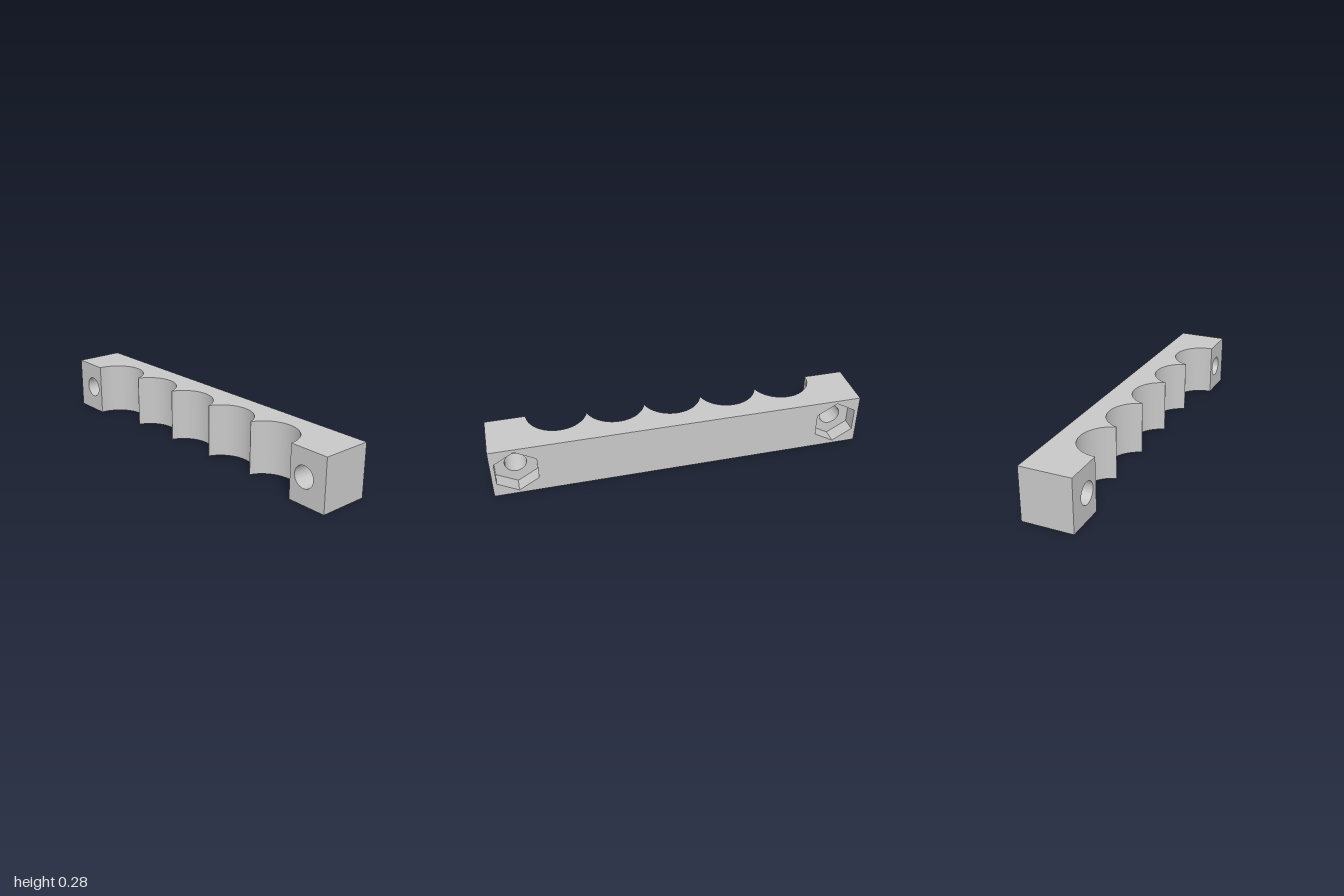
import * as THREE from 'three';
import { toCreasedNormals } from 'three/addons/utils/BufferGeometryUtils.js';

const H = 0.283;        // height
const BACK = -0.135, FRONT = 0.135;
const FLOOR = -0.057;   // depth of the nut pocket floor
const R = 0.162;        // groove radius
const PITCH = 0.3115;   // groove spacing
const INNER = 2 * PITCH + R; // where the end blocks begin
const HOLE_X = 0.87;

function extrude(shape, depth) {
  return new THREE.ExtrudeGeometry(shape, { depth, bevelEnabled: false, curveSegments: 32 });
}

function rectangle(x0, x1) {
  const s = new THREE.Shape();
  s.moveTo(x0, 0).lineTo(x1, 0).lineTo(x1, H).lineTo(x0, H).closePath();
  return s;
}

export function createModel() {
  const group = new THREE.Group();
  const grey = new THREE.MeshStandardMaterial({ color: 0xc8c8c8 });
  grey.name = 'grey';
  const add = (name, geometry) => {
    const mesh = new THREE.Mesh(toCreasedNormals(geometry, 0.5), grey);
    mesh.name = name;
    group.add(mesh);
  };

  // Grooved middle: plan outline drawn as (x, -z), extruded upwards
  const plan = new THREE.Shape();
  plan.moveTo(INNER, -FLOOR).lineTo(-INNER, -FLOOR);
  const cusp = Math.acos(0.1544 / R); // slightly blunt ridges between grooves
  for (let i = -2; i <= 2; i++) {
    const start = i === -2 ? Math.PI : Math.PI - cusp;
    const end = i === 2 ? 0 : cusp;
    plan.absarc(i * PITCH, -FRONT, R, start, end, true);
  }
  plan.closePath();
  add('groovedCradle', extrude(plan, H).rotateX(-Math.PI / 2));

  // End blocks with round bolt holes
  for (const side of [-1, 1]) {
    const s = side > 0 ? rectangle(INNER, 1) : rectangle(-1, -INNER);
    const hole = new THREE.Path();
    hole.absarc(side * HOLE_X, H / 2, 0.057, 0, Math.PI * 2, true);
    s.holes.push(hole);
    add(side > 0 ? 'leftEndBlock' : 'rightEndBlock', extrude(s, FRONT - FLOOR).translate(0, 0, FLOOR));
  }

  // Back slab with hexagonal nut pockets
  const slab = rectangle(-1, 1);
  for (const side of [-1, 1]) {
    const points = [];
    for (let k = 0; k < 6; k++) {
      const a = Math.PI / 2 - k * Math.PI / 3;
      points.push(new THREE.Vector2(side * HOLE_X + 0.125 * Math.cos(a), H / 2 + 0.125 * Math.sin(a)));
    }
    slab.holes.push(new THREE.Path(points).closePath());
  }
  add('backSlab', extrude(slab, FLOOR - BACK).translate(0, 0, BACK));

  return group;
}
